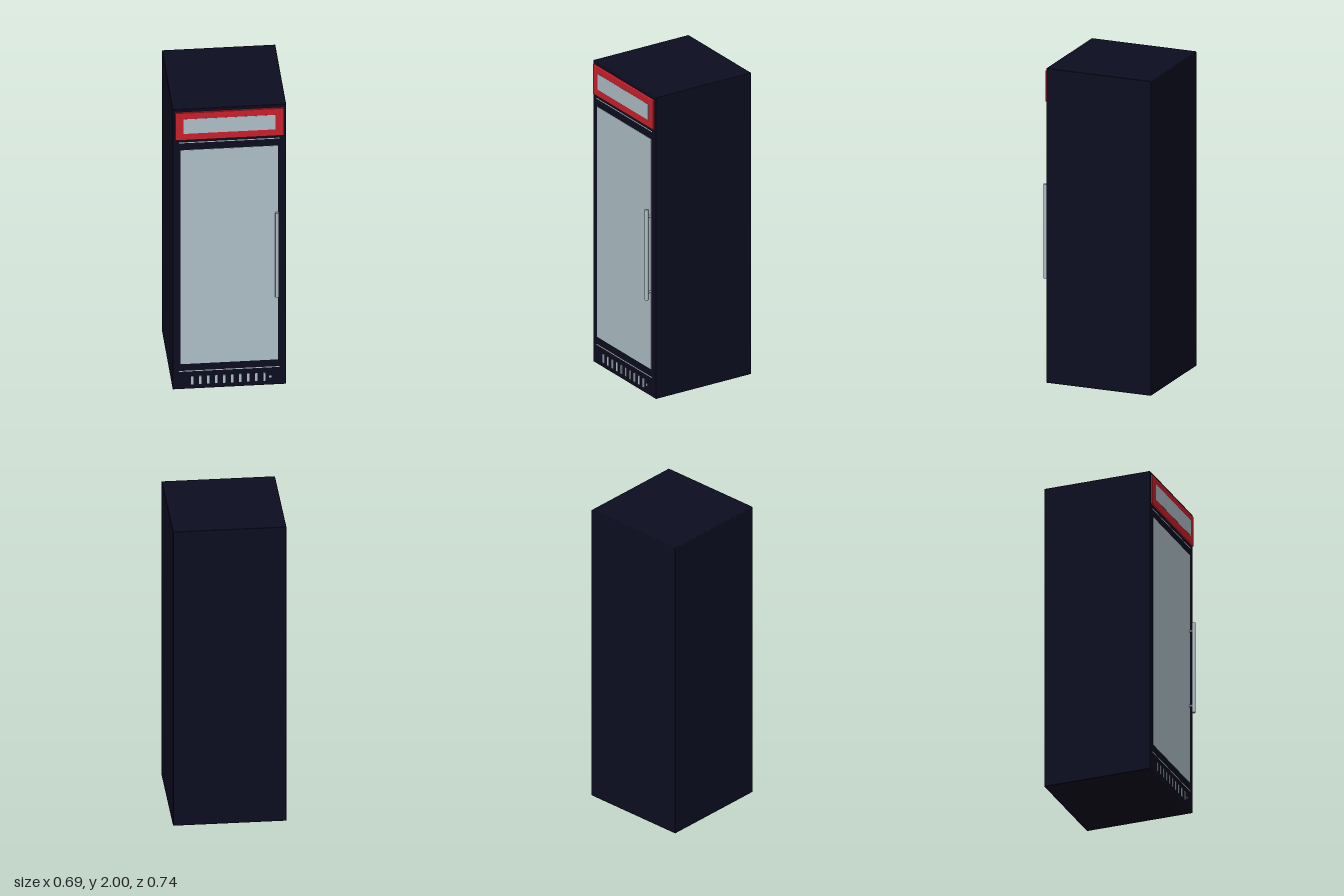
import * as THREE from 'three';
import { RoundedBoxGeometry } from 'three/addons/geometries/RoundedBoxGeometry.js';

const FRONT = 0.327; // z of the cabinet face
const BACK = -0.369;

export function createModel() {
  const model = new THREE.Group();
  model.name = 'displayFridge';

  const material = (name, color) => {
    const m = new THREE.MeshStandardMaterial({ color });
    m.name = name;
    return m;
  };
  const navy = material('darkNavy', 0x0c0d20);
  const red = material('signRed', 0xcc202c);
  const pale = material('paleGlass', 0xb0c1c9);

  const add = (name, geometry, mat, x, y, z, parent = model) => {
    const mesh = new THREE.Mesh(geometry, mat);
    mesh.name = name;
    mesh.position.set(x, y, z);
    parent.add(mesh);
    return mesh;
  };
  // Thin plate given by its edges, standing a little proud of a face at z
  const plate = (name, mat, x0, x1, y0, y1, z = FRONT, t = 0.002, parent = model) =>
    add(name, new THREE.BoxGeometry(x1 - x0, y1 - y0, t), mat, (x0 + x1) / 2, (y0 + y1) / 2, z + t / 2, parent);

  // Cabinet with slightly rounded edges
  add('cabinet', new RoundedBoxGeometry(0.694, 2, FRONT - BACK, 3, 0.005), navy, 0, 1, (FRONT + BACK) / 2);

  // Glass door and the light seams above and below it
  plate('doorGlass', pale, -0.3, 0.296, 0.18, 1.708);
  plate('upperDoorSeam', pale, -0.307, 0.305, 1.757, 1.763, FRONT, 0.001);
  plate('lowerDoorSeam', pale, -0.307, 0.305, 0.125, 0.131, FRONT, 0.001);

  // Header sign with its lit panel
  add('signFrame', new RoundedBoxGeometry(0.668, 0.198, 0.014, 3, 0.005), red, 0, 1.881, 0.332);
  plate('signPanel', pale, -0.281, 0.281, 1.831, 1.935, 0.339, 0.001);

  // Bar handle on two standoffs
  const handle = new THREE.Group();
  handle.name = 'doorHandle';
  model.add(handle);
  add('handleBar', new THREE.CylinderGeometry(0.011, 0.011, 0.6, 24), pale, 0.288, 0.945, 0.357, handle);
  for (const y of [0.693, 1.195]) {
    const post = add('handlePost', new THREE.CylinderGeometry(0.007, 0.007, 0.032, 16), pale, 0.288, y, 0.341, handle);
    post.rotation.x = Math.PI / 2;
  }

  // Vent slots and indicator light in the kick panel
  const vents = new THREE.Group();
  vents.name = 'kickVents';
  model.add(vents);
  for (let i = 0; i < 10; i++) {
    const x = -0.229 + i * 0.0492;
    plate('ventSlot', pale, x - 0.0075, x + 0.0075, 0.033, 0.09, FRONT, 0.004, vents);
  }
  plate('indicatorLight', pale, 0.241, 0.256, 0.054, 0.068, FRONT, 0.004, vents);

  return model;
}
